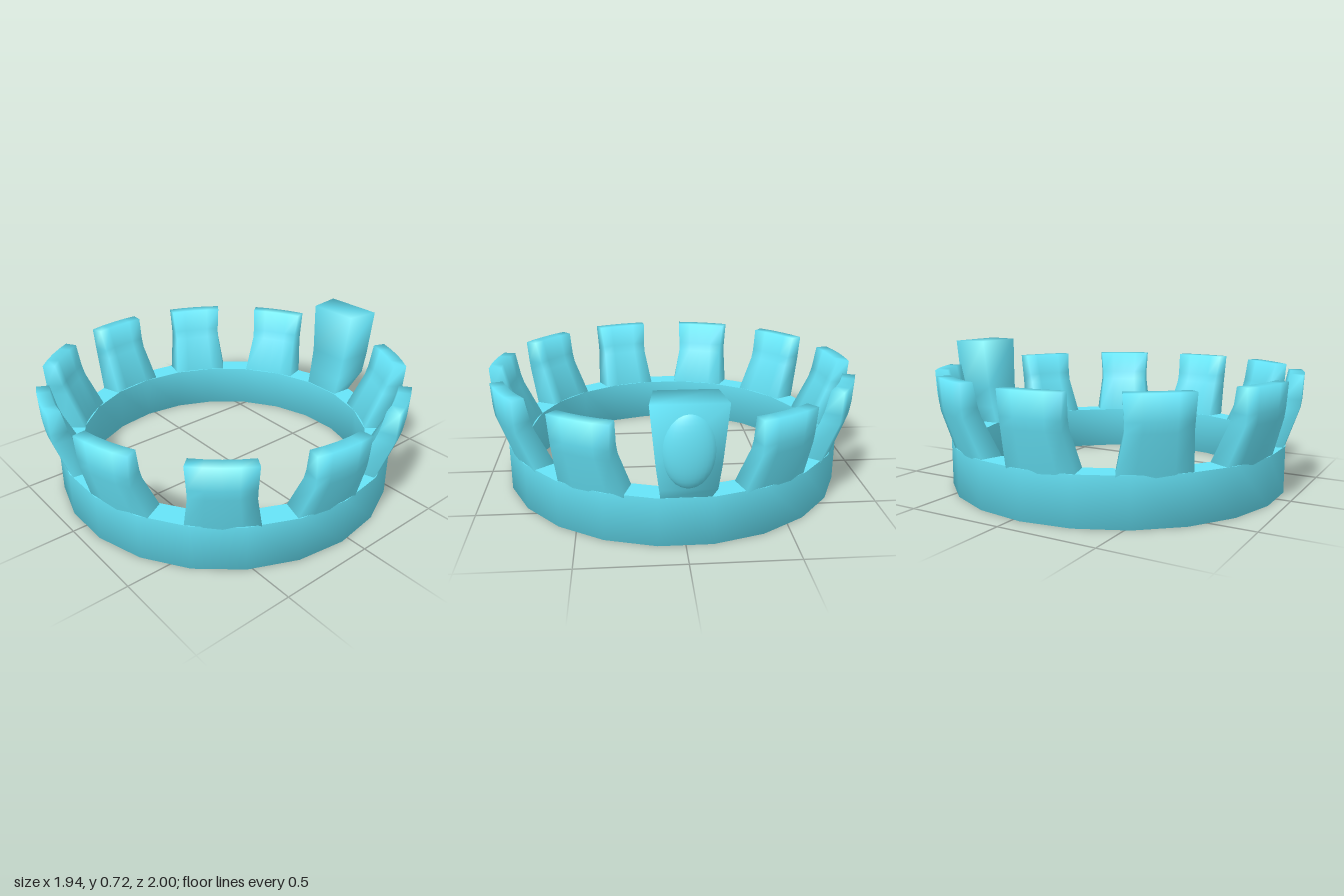
import * as THREE from 'three';
import { toCreasedNormals } from 'three/addons/utils/BufferGeometryUtils.js';

const CENTRE_Z = 0.04;
const SIDES = 22;
const rad = THREE.MathUtils.degToRad;

// Joins cross-sections (counterclockwise from above, bottom to top) and caps the top;
// the open bottom sits inside the band. Edges are softened by smooth normals.
// Each section lists its outer points, then the same number of inner points in reverse.
function loft(sections) {
  const n = sections[0].length;
  const pos = [];
  const quad = (a, b, c, d) => [a, b, c, a, c, d].forEach((p) => pos.push(...p));
  for (let s = 0; s < sections.length - 1; s++) {
    const lo = sections[s], hi = sections[s + 1];
    for (let i = 0; i < n; i++) {
      const j = (i + 1) % n;
      quad(lo[i], lo[j], hi[j], hi[i]);
    }
  }
  const top = sections[sections.length - 1];
  for (let i = 0; i < n / 2 - 1; i++) {
    quad(top[i], top[i + 1], top[n - 2 - i], top[n - 1 - i]);
  }
  const geo = new THREE.BufferGeometry();
  geo.setAttribute('position', new THREE.Float32BufferAttribute(pos, 3));
  return toCreasedNormals(geo, 2);
}

// Curved slice of the crown wall at height y, facing +z
function arcSection([y, inner, outer, halfAngle]) {
  const steps = 4, pts = [];
  const add = (r, t) => pts.push([r * Math.sin(t), y, r * Math.cos(t)]);
  for (let i = 0; i <= steps; i++) add(outer, rad(halfAngle) * (2 * i / steps - 1));
  for (let i = steps; i >= 0; i--) add(inner, rad(halfAngle) * (2 * i / steps - 1));
  return pts;
}

// Trapezoid slice of the tall rear post, facing +z
function postSection([y, inner, outer, innerHalf, outerHalf]) {
  return [[-outerHalf, y, outer], [outerHalf, y, outer], [innerHalf, y, inner], [-innerHalf, y, inner]];
}

export function createModel() {
  const crown = new THREE.Group();
  crown.name = 'crown';
  const material = new THREE.MeshStandardMaterial({ color: 0x66e4f8 });
  const add = (name, geometry, angle = 0) => {
    const mesh = new THREE.Mesh(geometry, material);
    mesh.name = name;
    mesh.position.z = CENTRE_Z;
    mesh.rotation.y = angle;
    crown.add(mesh);
    return mesh;
  };
  const ring = (points) => new THREE.LatheGeometry(
    points.map(([r, y]) => new THREE.Vector2(r, y)), SIDES, Math.PI / SIDES);

  // Band with a softened lower edge, and the rim between the prongs
  add('band', ring([[0.773, 0.24], [0.773, 0], [0.895, 0], [0.895, 0.24]]));
  add('bandRim', ring([[0.895, 0.24], [0.773, 0.24]]));

  // Ten flared prongs, mirrored left and right, thinning towards the top
  const prong = loft([
    [0.2, 0.782, 0.88, 11.2],
    [0.24, 0.774, 0.89, 11.2],
    [0.43, 0.858, 0.955, 9.0],
    [0.48, 0.875, 0.962, 9.0],
    [0.6, 0.903, 0.968, 9.4],
  ].map(arcSection));
  for (let i = 0; i < 5; i++) {
    const angle = rad(16.8 + 33.5 * i);
    add('leftProng', prong, angle);
    add('rightProng', prong, -angle);
  }

  // Tall rear post that steps outward above the band
  add('rearPost', loft([
    [0.2, 0.775, 0.87, 0.11, 0.115],
    [0.24, 0.77, 0.885, 0.11, 0.115],
    [0.33, 0.79, 0.99, 0.115, 0.125],
    [0.45, 0.81, 1.0, 0.12, 0.14],
    [0.72, 0.825, 1.008, 0.14, 0.165],
  ].map(postSection)), Math.PI);

  // Oval gem on the back of the post
  const gem = add('gem', new THREE.SphereGeometry(1, 28, 18));
  gem.scale.set(0.12, 0.18, 0.06);
  gem.position.set(0, 0.515, -0.94);

  return crown;
}
